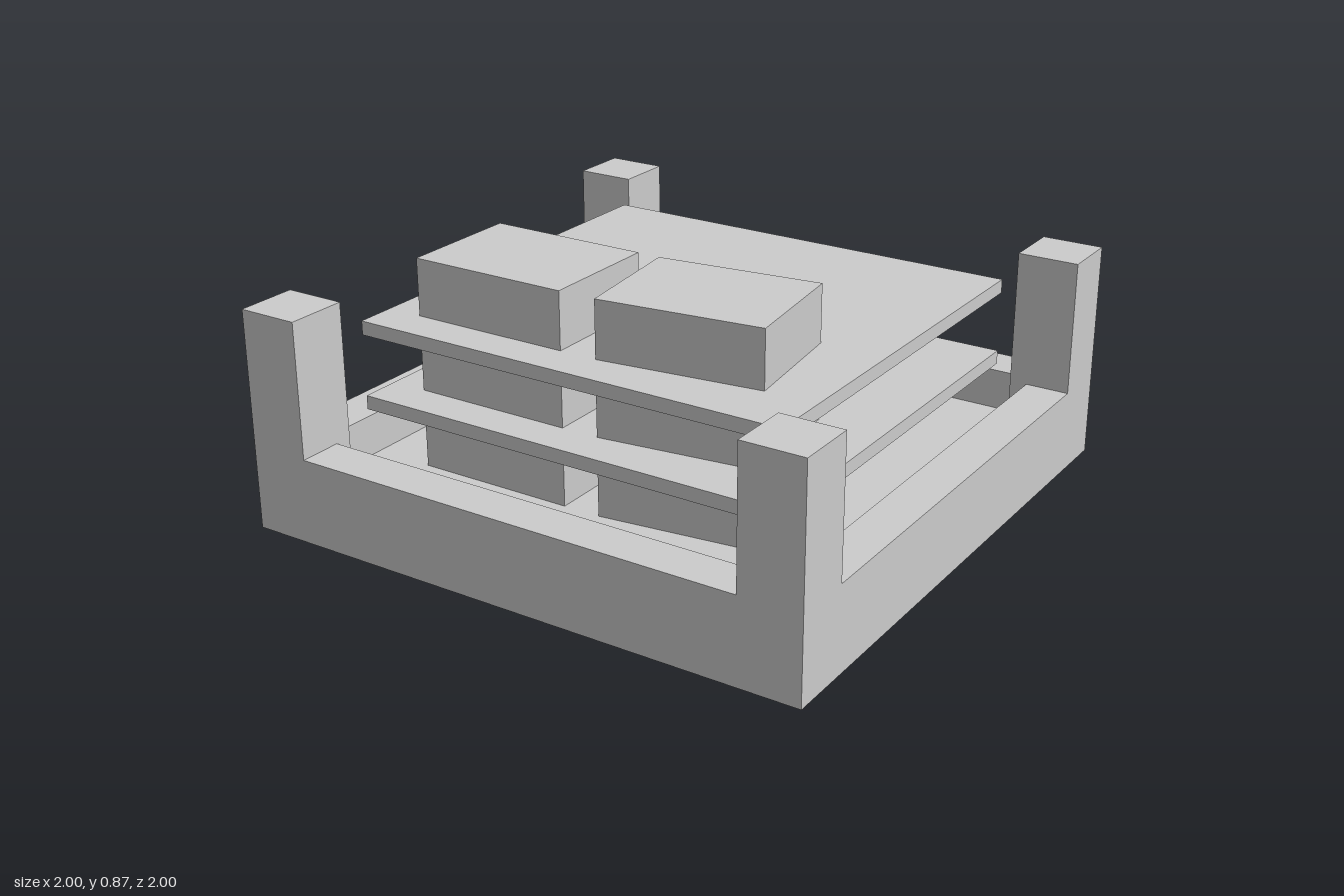
import * as THREE from 'three';

const material = new THREE.MeshStandardMaterial({ color: 0xcccccc, flatShading: true });

// Box standing on y = bottom, centred on x, z and turned about y
function addBox(parent, name, [w, h, d], [x, bottom, z], turn = 0) {
  const mesh = new THREE.Mesh(new THREE.BoxGeometry(w, h, d), material);
  mesh.name = name;
  mesh.position.set(x, bottom + h / 2, z);
  mesh.rotation.y = turn;
  parent.add(mesh);
}

export function createModel() {
  const model = new THREE.Group();
  model.name = 'stackedTray';

  // Tray: floor slab, four low walls and four corner posts
  const tray = new THREE.Group();
  tray.name = 'tray';
  model.add(tray);
  const wallHeight = 0.29, wall = 0.15, post = 0.21, floorTop = 0.15;
  const span = 2 - 2 * post;
  addBox(tray, 'floor', [2 - 2 * wall, floorTop, 2 - 2 * wall], [0, 0, 0]);
  for (const s of [-1, 1]) {
    addBox(tray, s > 0 ? 'leftWall' : 'rightWall', [wall, wallHeight, span], [s * (1 - wall / 2), 0, 0]);
    addBox(tray, s > 0 ? 'frontWall' : 'backWall', [span, wallHeight, wall], [0, 0, s * (1 - wall / 2)]);
    for (const t of [-1, 1]) {
      addBox(tray, 'cornerPost', [post, 0.75, post], [s * (1 - post / 2), 0, t * (1 - post / 2)]);
    }
  }

  // Separator sheets between the layers
  for (const y of [0.37, 0.625]) addBox(model, 'separatorSheet', [1.53, 0.047, 1.45], [0, y, 0]);

  // Three layers of cartons; the top layer lacks the back one
  const spots = [
    { x: -0.365, z: 0.38, turn: 0 },
    { x: 0.29, z: 0.348, turn: 0.119 },
    { x: -0.42, z: -0.357, turn: 0.246 },
  ];
  const layers = [[floorTop, 0.355, 3], [0.417, 0.61, 3], [0.672, 0.865, 2]];
  for (const [bottom, top, count] of layers) {
    for (const { x, z, turn } of spots.slice(0, count)) {
      addBox(model, 'carton', [0.553, top - bottom, 0.422], [x, bottom, z], turn);
    }
  }
  return model;
}
